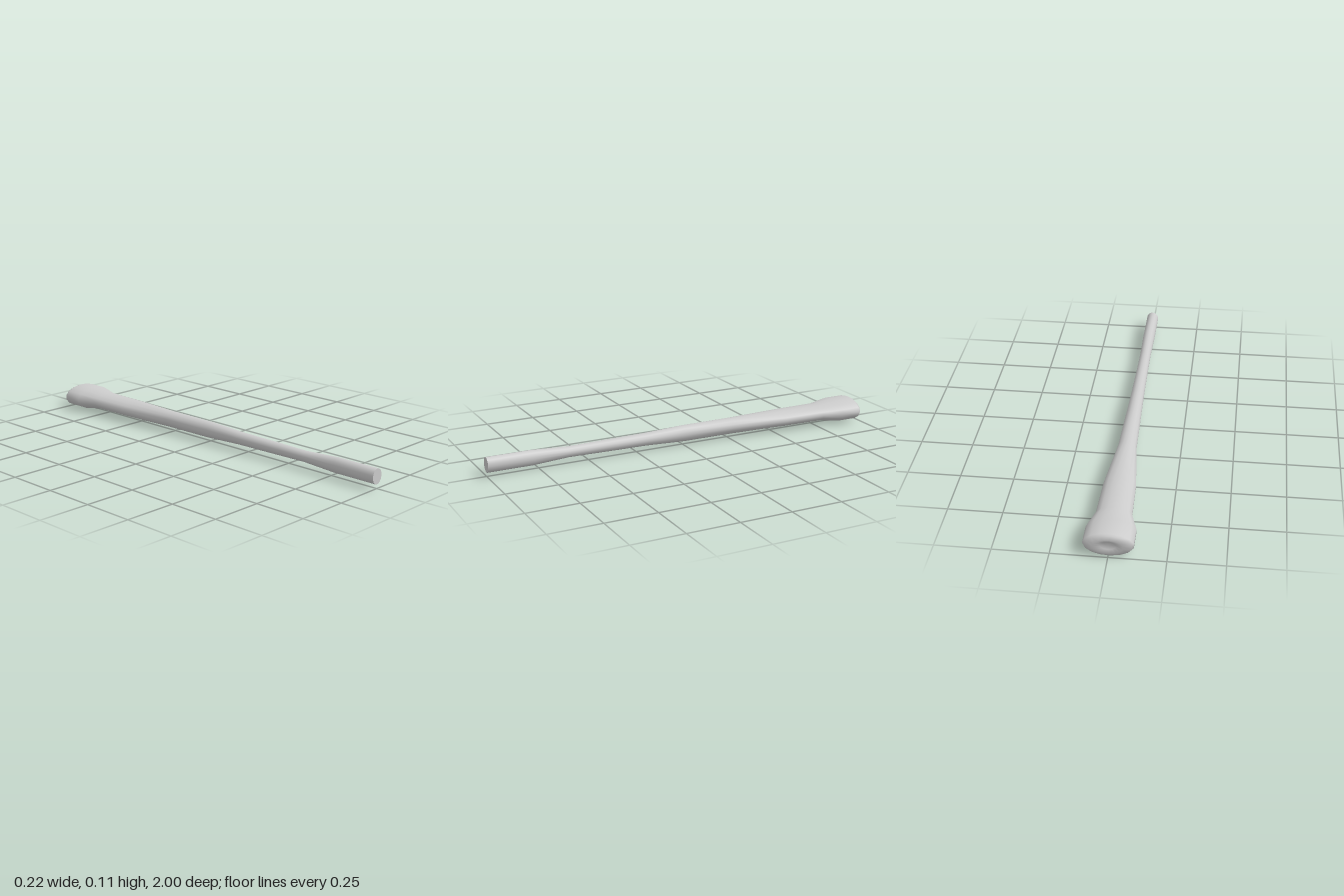
import * as THREE from 'three';
import { mergeVertices } from 'three/addons/utils/BufferGeometryUtils.js';

const SIDES = 15;
const CENTRE_Y = 0.056;

// Oval sections from the slim front end to the flared butt: [z, half width, half height]
const SECTIONS = [
  [1.0, 0.031, 0.037],
  [0.78, 0.031, 0.037],
  [0.6, 0.028, 0.026],
  [0.4, 0.03, 0.029],
  [0.2, 0.033, 0.031],
  [0.0, 0.038, 0.04],
  [-0.27, 0.045, 0.04],
  [-0.56, 0.075, 0.041],
  [-0.78, 0.081, 0.041],
  [-0.88, 0.111, 0.056],
  [-0.98, 0.111, 0.056],
  [-0.99, 0.104, 0.052],
  [-1.0, 0.065, 0.036],
  [-0.99, 0.035, 0.02], // shallow dish in the butt
  [-0.99, 0, 0],
];

export function createModel() {
  const group = new THREE.Group();
  group.name = 'handle';
  const material = new THREE.MeshStandardMaterial({ color: 0xcccccc });

  // Shaft: an open tube whose rows take the shape of the sections
  let shaftGeo = new THREE.CylinderGeometry(1, 1, 1, SIDES, SECTIONS.length - 1, true);
  const pos = shaftGeo.attributes.position;
  for (let i = 0; i < pos.count; i++) {
    const [z, rx, ry] = SECTIONS[Math.floor(i / (SIDES + 1))];
    const a = ((i % (SIDES + 1)) % SIDES) / SIDES * Math.PI * 2;
    pos.setXYZ(i, rx * Math.cos(a), CENTRE_Y + ry * Math.sin(a), z);
  }
  shaftGeo.deleteAttribute('uv');
  shaftGeo.deleteAttribute('normal');
  shaftGeo = mergeVertices(shaftGeo, 1e-5);
  shaftGeo.computeVertexNormals();
  const shaft = new THREE.Mesh(shaftGeo, material);
  shaft.name = 'shaft';
  group.add(shaft);

  // Flat, sharp-edged front end
  const [z, rx, ry] = SECTIONS[0];
  const endGeo = new THREE.CircleGeometry(1, SIDES).scale(rx, ry, 1).translate(0, CENTRE_Y, z);
  const end = new THREE.Mesh(endGeo, material);
  end.name = 'frontEnd';
  group.add(end);

  return group;
}
